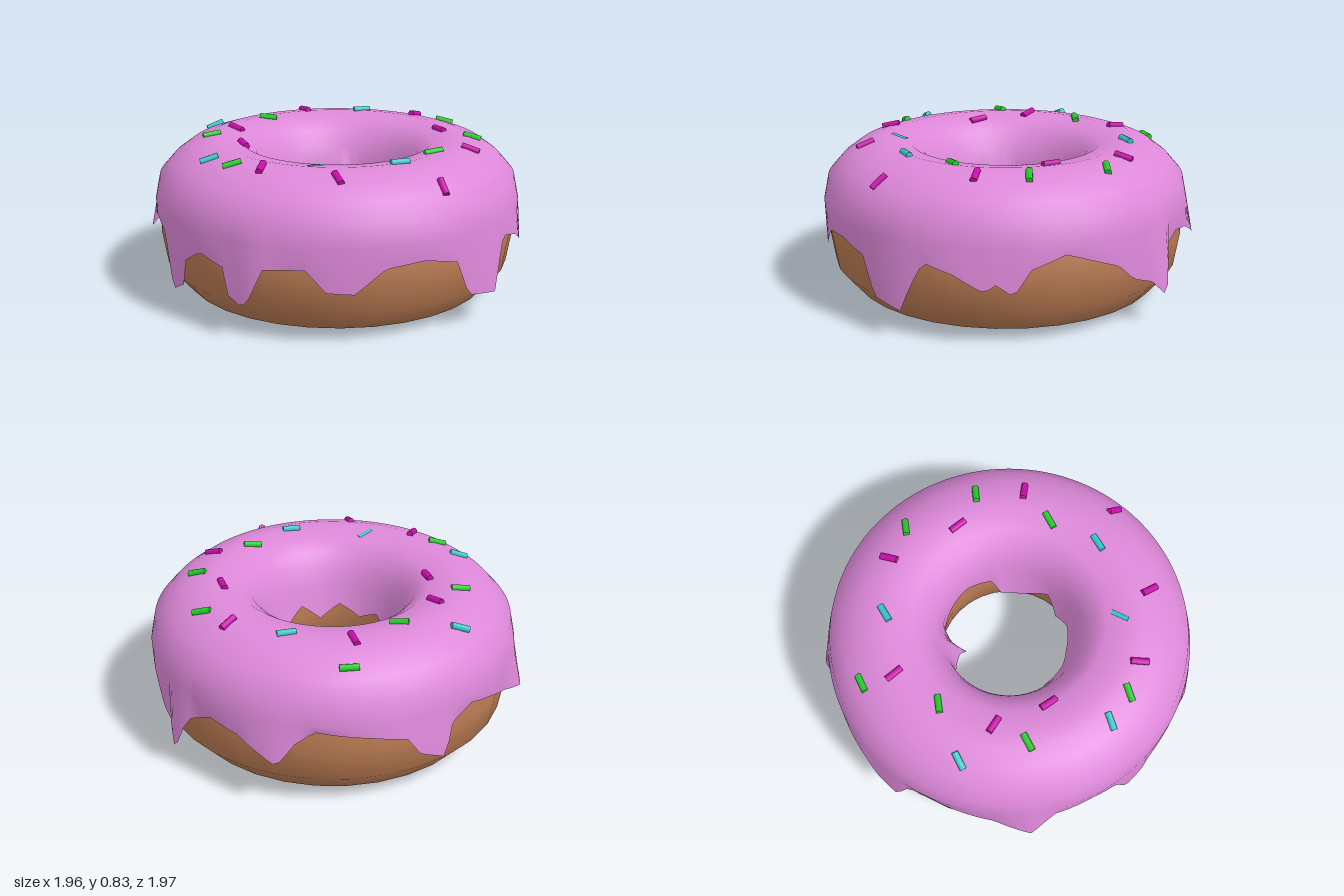
import * as THREE from 'three';

// Linear lookup in rows sorted by their first column; returns the remaining columns
function lookup(rows, t) {
  let i = 0;
  while (i < rows.length - 2 && t > rows[i + 1][0]) i++;
  const a = rows[i], b = rows[i + 1];
  const f = THREE.MathUtils.clamp((t - a[0]) / (b[0] - a[0]), 0, 1);
  return a.slice(1).map((v, k) => v + (b[k + 1] - v) * f);
}

// Sweeps a profile of [radius, y] around the y axis; the profile may change with the angle
function sweep(profileAt, segments, closed) {
  const pos = [], index = [];
  let n = 0;
  for (let i = 0; i < segments; i++) {
    const deg = -180 + (360 * i) / segments, a = THREE.MathUtils.degToRad(deg);
    const profile = profileAt(deg);
    n = profile.length;
    for (const [r, y] of profile) pos.push(r * Math.sin(a), y, r * Math.cos(a));
  }
  for (let i = 0; i < segments; i++) {
    const i2 = (i + 1) % segments;
    for (let j = 0; j < (closed ? n : n - 1); j++) {
      const j2 = (j + 1) % n;
      const a = i * n + j, b = i2 * n + j, c = i2 * n + j2, d = i * n + j2;
      index.push(a, b, d, b, c, d);
    }
  }
  const geo = new THREE.BufferGeometry();
  geo.setAttribute('position', new THREE.Float32BufferAttribute(pos, 3));
  geo.setIndex(index);
  geo.computeVertexNormals();
  return geo;
}

// Dough section: inner wall, underside, outer wall, top
const DOUGH = [
  [0.36, 0.4], [0.38, 0.23], [0.46, 0.08], [0.6, 0.01], [0.67, 0.01], [0.81, 0.06], [0.915, 0.18],
  [0.945, 0.36], [0.91, 0.6], [0.77, 0.73], [0.62, 0.77], [0.48, 0.73], [0.39, 0.6],
];
// Icing section between its two ragged rims
const ICING = [
  [0.965, 0.52], [0.94, 0.64], [0.87, 0.72], [0.79, 0.78], [0.7, 0.81], [0.62, 0.82],
  [0.5, 0.8], [0.43, 0.75], [0.38, 0.67], [0.35, 0.58],
];
// Outer rim drips: angle from the front towards +x, y (radius follows from the drip)
const OUTER = [
  [-180, 0.4], [-172, 0.34], [-167, 0.3], [-162, 0.42], [-156, 0.48], [-140, 0.45], [-130, 0.42], [-126, 0.32],
  [-117, 0.25], [-115, 0.4], [-106, 0.47], [-95, 0.42], [-85, 0.36], [-74, 0.29], [-69, 0.4], [-54, 0.46],
  [-45, 0.42], [-42, 0.27], [-39, 0.14], [-32, 0.2], [-30, 0.34], [-23, 0.41], [-14, 0.37], [-12, 0.23],
  [-7, 0.19], [-4, 0.25], [0, 0.4], [12, 0.41], [18, 0.3], [26, 0.29], [35, 0.41], [47, 0.43],
  [58, 0.39], [63, 0.2], [74, 0.17], [77, 0.3], [81, 0.43], [90, 0.39], [99, 0.31], [102, 0.35],
  [107, 0.29], [112, 0.42], [122, 0.48], [129, 0.44], [139, 0.38], [145, 0.29], [152, 0.25], [157, 0.16],
  [161, 0.36], [170, 0.43], [180, 0.4],
];
// How far the rim flares outwards
const FLARE = [
  [-180, 0.965], [-167, 1.01], [-158, 0.95], [-125, 0.99], [-117, 0.99], [-113, 0.955], [-85, 0.965], [-74, 1.02],
  [-66, 0.965], [-40, 0.96], [-10, 0.965], [-4, 0.99], [6, 0.96], [40, 0.955], [62, 0.965], [74, 0.99],
  [80, 0.97], [95, 0.985], [125, 0.96], [150, 0.97], [157, 1.02], [164, 0.95], [180, 0.965],
];
// Inner rim: angle, radius, y
const INNER = [
  [-180, 0.35, 0.46], [-172, 0.3, 0.36], [-165, 0.23, 0.34], [-158, 0.27, 0.4], [-140, 0.33, 0.42], [-115, 0.34, 0.5],
  [-85, 0.35, 0.45], [-74, 0.29, 0.36], [-62, 0.29, 0.37], [-55, 0.33, 0.46], [-40, 0.3, 0.4], [-20, 0.32, 0.47],
  [0, 0.31, 0.42], [22, 0.32, 0.48], [42, 0.3, 0.4], [60, 0.33, 0.48], [85, 0.3, 0.4], [108, 0.3, 0.41],
  [116, 0.34, 0.5], [140, 0.35, 0.53], [165, 0.35, 0.5], [180, 0.35, 0.46],
];

// Sprinkles by colour: x, z, heading in degrees
const SPRINKLES = {
  green: [0x22cc2a, [[-0.46, -0.68, 35], [0.41, -0.62, 18], [-0.52, -0.27, 18], [0.66, -0.29, 15],
    [0.57, 0.12, 38], [-0.64, 0.2, 38], [-0.3, 0.66, 30]]],
  teal: [0x36c8c8, [[-0.09, -0.63, 40], [-0.78, -0.12, 38], [0.48, 0.39, 40], [-0.46, 0.59, 30], [0.1, 0.56, 70]]],
  magenta: [0xcc0cac, [[-0.4, -0.52, -42], [0.22, -0.67, 80], [0.46, -0.35, -42], [0.72, -0.04, 3],
    [-0.58, 0.02, -22], [-0.42, 0.27, -45], [-0.13, 0.69, -80], [0.27, 0.69, -48], [0.72, 0.45, -48]]],
};

export function createModel() {
  const group = new THREE.Group();
  const add = (name, geo, color, side = THREE.FrontSide) => {
    const mesh = new THREE.Mesh(geo, new THREE.MeshStandardMaterial({ color, side }));
    mesh.name = name;
    group.add(mesh);
    return mesh;
  };

  // Dough ring
  add('dough', sweep(() => DOUGH, 32, true), 0xb97a52);

  // Icing with drips outside and inside
  const icingProfile = (deg) => [
    [lookup(FLARE, deg)[0], lookup(OUTER, deg)[0]],
    ...ICING,
    lookup(INNER, deg),
  ];
  add('icing', sweep(icingProfile, 180, false), 0xdd88d9, THREE.DoubleSide);

  // Sprinkles lying on the icing, tilted to its slope
  const heights = [...ICING].reverse();
  const bar = new THREE.CylinderGeometry(0.018, 0.018, 0.095, 8);
  for (const [name, [color, spots]] of Object.entries(SPRINKLES)) {
    for (const [x, z, heading] of spots) {
      const r = Math.hypot(x, z), h = (d) => lookup(heights, r + d)[0];
      const slope = (h(0.03) - h(-0.03)) / 0.06;
      const a = THREE.MathUtils.degToRad(heading);
      const dx = Math.cos(a), dz = -Math.sin(a);
      const dir = new THREE.Vector3(dx, (slope * (dx * x + dz * z)) / r, dz).normalize();
      const mesh = add(name + 'Sprinkle', bar, color);
      mesh.position.set(x, h(0) + (x === 0.1 ? -0.012 : 0.004), z);
      mesh.quaternion.setFromUnitVectors(new THREE.Vector3(0, 1, 0), dir);
    }
  }
  return group;
}
